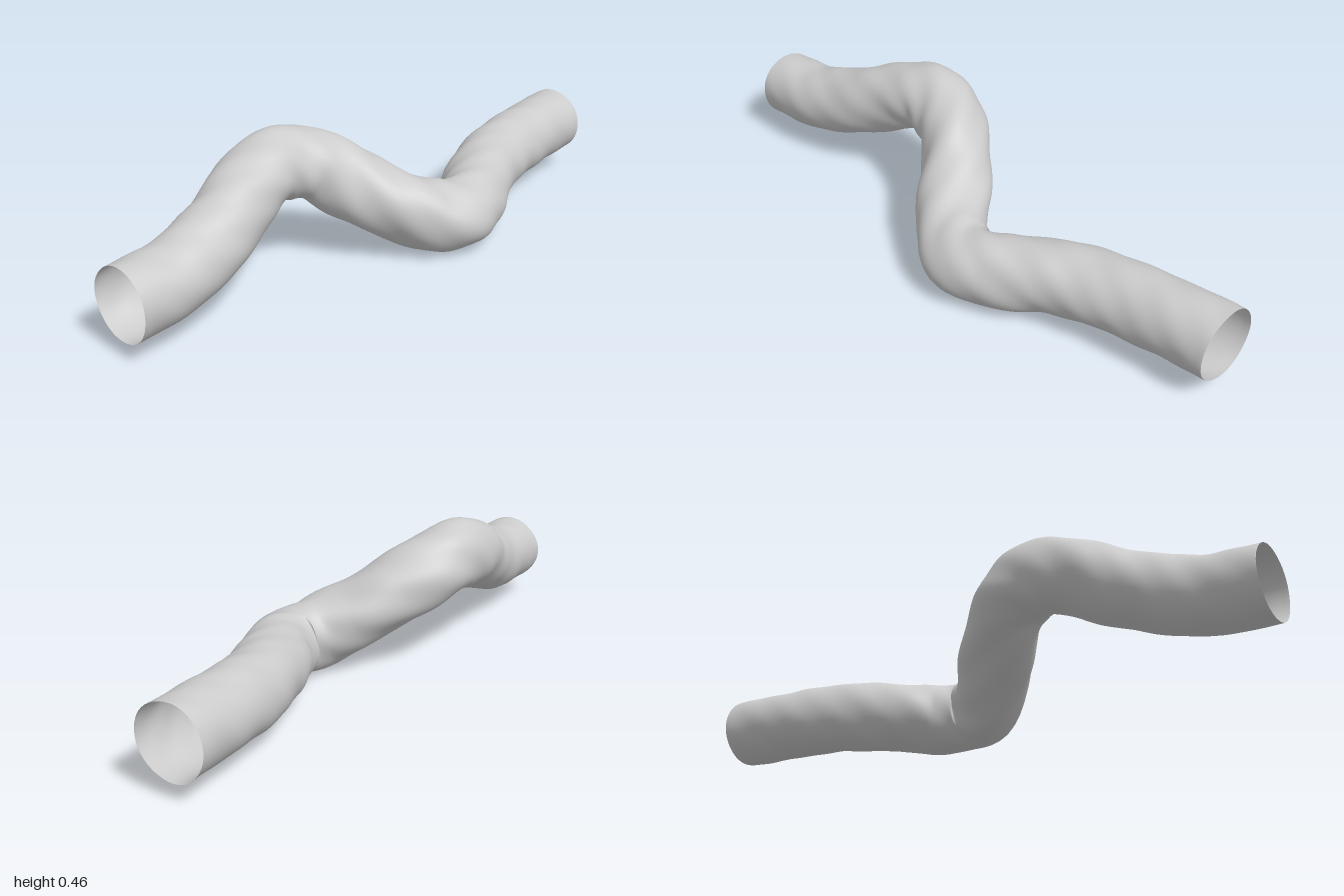
import * as THREE from 'three';
import { mergeVertices } from 'three/addons/utils/BufferGeometryUtils.js';

const RADIUS = 0.116, SEGMENTS = 200, SIDES = 40;

// Centre line of the pipe, from its right end to its left end
const path = new THREE.CatmullRomCurve3([
  [-1, 0.172, -0.055], [-0.8, 0.185, -0.066], [-0.6, 0.248, -0.105], [-0.42, 0.325, -0.158],
  [-0.31, 0.346, -0.168], [-0.2, 0.32, -0.14], [-0.1, 0.25, -0.06], [0, 0.175, 0.05],
  [0.08, 0.133, 0.125], [0.16, 0.12, 0.161], [0.27, 0.122, 0.135], [0.42, 0.142, 0.055],
  [0.6, 0.156, -0.008], [0.8, 0.166, -0.04], [1, 0.172, -0.055],
].map(p => new THREE.Vector3(...p)), false, 'centripetal');

// Soft dents, strongest around the two bends and fading toward the left end
function dent(x, angle) {
  const strength = 0.0012 + 0.003 * Math.exp(-(((x + 0.05) / 0.45) ** 2));
  return strength * (Math.sin(3 * angle + 14 * x) + 0.8 * Math.sin(2 * angle - 31 * x + 1) +
    0.6 * Math.sin(5 * angle + 47 * x + 2));
}

function crumpledPipe() {
  const geometry = new THREE.TubeGeometry(path, SEGMENTS, RADIUS, SIDES, false);
  const pos = geometry.attributes.position;
  const v = new THREE.Vector3(), out = new THREE.Vector3();
  for (let i = 0; i <= SEGMENTS; i++) {
    const centre = path.getPointAt(i / SEGMENTS);
    for (let j = 0; j <= SIDES; j++) {
      const k = i * (SIDES + 1) + j;
      v.fromBufferAttribute(pos, k);
      out.subVectors(v, centre).normalize();
      v.addScaledVector(out, dent(centre.x, (j % SIDES) / SIDES * Math.PI * 2));
      // Both open ends are cut square
      v.x = i === 0 ? -1 : i === SEGMENTS ? 1 : THREE.MathUtils.clamp(v.x, -0.998, 0.998);
      pos.setXYZ(k, v.x, v.y, v.z);
    }
  }
  // Join the seam so that the shading runs on smoothly around the pipe
  geometry.deleteAttribute('normal');
  geometry.deleteAttribute('uv');
  const joined = mergeVertices(geometry, 1e-5);
  joined.computeVertexNormals();
  return joined;
}

export function createModel() {
  const group = new THREE.Group();
  group.name = 'bentPipe';
  const material = new THREE.MeshStandardMaterial({ color: 0xcccccc, side: THREE.DoubleSide });
  const pipe = new THREE.Mesh(crumpledPipe(), material);
  pipe.name = 'pipeWall';
  group.add(pipe);
  return group;
}
